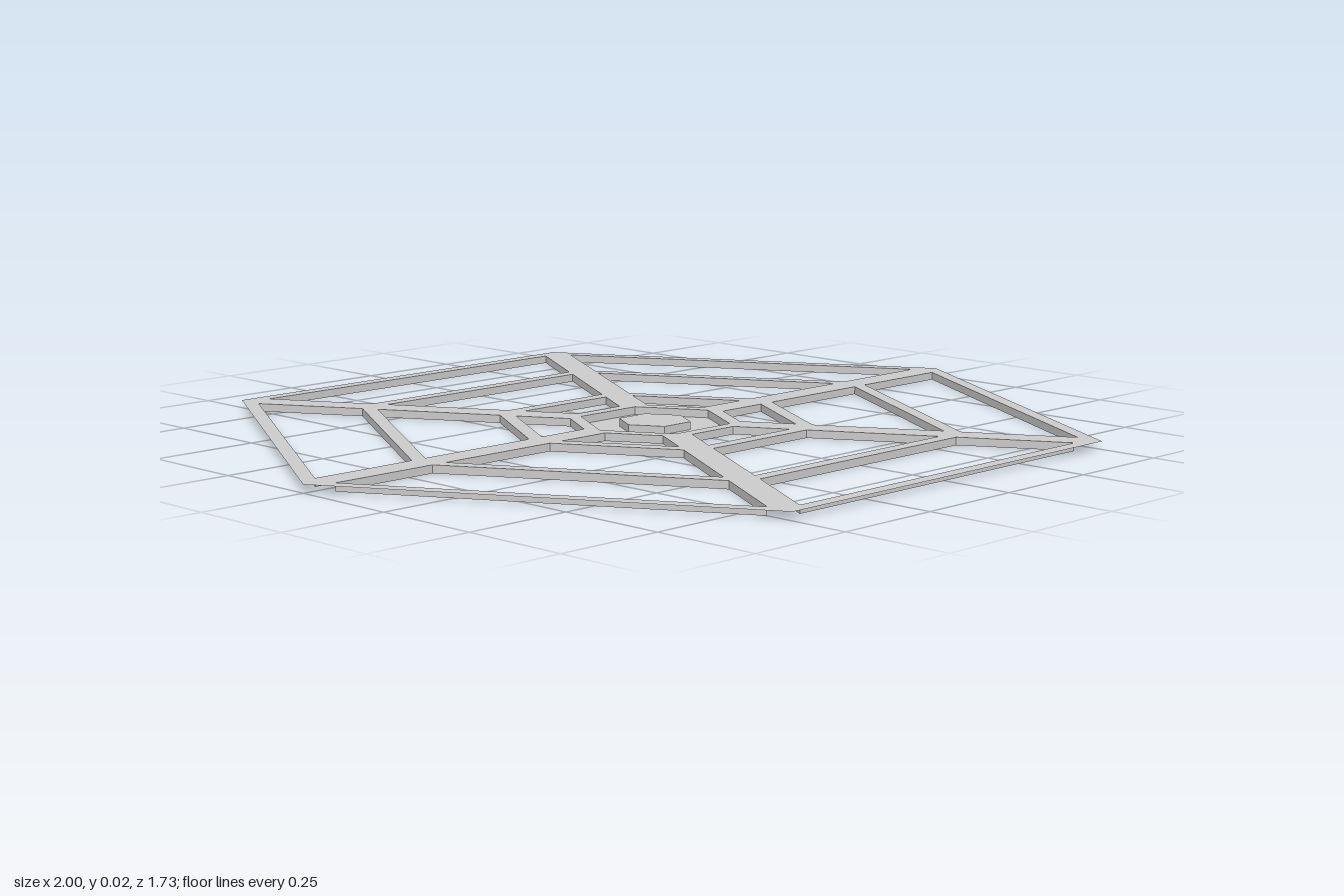
import * as THREE from 'three';
import { mergeGeometries } from 'three/addons/utils/BufferGeometryUtils.js';

const TOP = 0.018;          // height of the upper skin
const SPOKE = 0.033;        // half width of a spoke
const C30 = Math.cos(Math.PI / 6), T30 = Math.tan(Math.PI / 6);

const material = new THREE.MeshStandardMaterial({
  color: 0xcccccc, flatShading: true, side: THREE.DoubleSide,
});

// Hexagon with corners on the x axis, given its centre-to-side distance
function hexagon(apothem) {
  return Array.from({ length: 6 }, (_, i) => {
    const a = (i * Math.PI) / 3, r = apothem / C30;
    return new THREE.Vector2(r * Math.cos(a), r * Math.sin(a));
  });
}

// Opening between two spokes and two rings
function opening(sector, inner, outer) {
  const half = (d) => d * T30 - SPOKE / C30;
  const turn = ((sector + 0.5) * Math.PI) / 3;
  return [[inner, -half(inner)], [outer, -half(outer)], [outer, half(outer)], [inner, half(inner)]]
    .map(([d, s]) => new THREE.Vector2(d, s).rotateAround(new THREE.Vector2(), turn));
}

// Flat horizontal sheet at a height, with optional holes
function sheet(outline, y, holes = []) {
  const shape = new THREE.Shape(outline);
  shape.holes = holes.map((h) => new THREE.Path(h));
  return new THREE.ShapeGeometry(shape).rotateX(-Math.PI / 2).translate(0, y, 0);
}

// Upright walls round an outline, facing outward or inward
function walls(outline, low, high, inward) {
  const pos = [];
  outline.forEach((p, i) => {
    let q = outline[(i + 1) % outline.length], s = p;
    if (inward) [s, q] = [q, s];
    const a = [s.x, low, -s.y], b = [q.x, low, -q.y];
    const c = [q.x, high, -q.y], d = [s.x, high, -s.y];
    pos.push(...a, ...b, ...c, ...a, ...c, ...d);
  });
  const g = new THREE.BufferGeometry();
  g.setAttribute('position', new THREE.Float32BufferAttribute(pos, 3));
  g.computeVertexNormals();
  return g;
}

export function createModel() {
  const group = new THREE.Group();
  const add = (name, geometry) => {
    const mesh = new THREE.Mesh(geometry, material);
    mesh.name = name;
    group.add(mesh);
  };

  // Three rows of openings in each of the six sectors
  const rows = [[0.18, 0.291], [0.324, 0.58], [0.612, 0.834]];
  const openings = [];
  for (let s = 0; s < 6; s++) {
    for (const [inner, outer] of rows) openings.push(opening(s, inner, outer));
  }
  const hub = hexagon(0.15), boss = hexagon(0.072);

  // Web of spokes and rings, open underneath and round the rim
  add('webTop', sheet(hexagon(C30), TOP, [...openings, hub]));
  add('openingWalls', mergeGeometries(openings.map((o) => walls(o, 0, TOP, true))));

  // Sunken hub plate with a raised hollow boss
  add('hubWalls', walls(hub, 0, TOP, true));
  add('hubPlate', sheet(hub, 0, [boss]));
  add('bossWalls', walls(boss, 0, TOP, false));
  add('bossTop', sheet(boss, TOP));
  return group;
}
